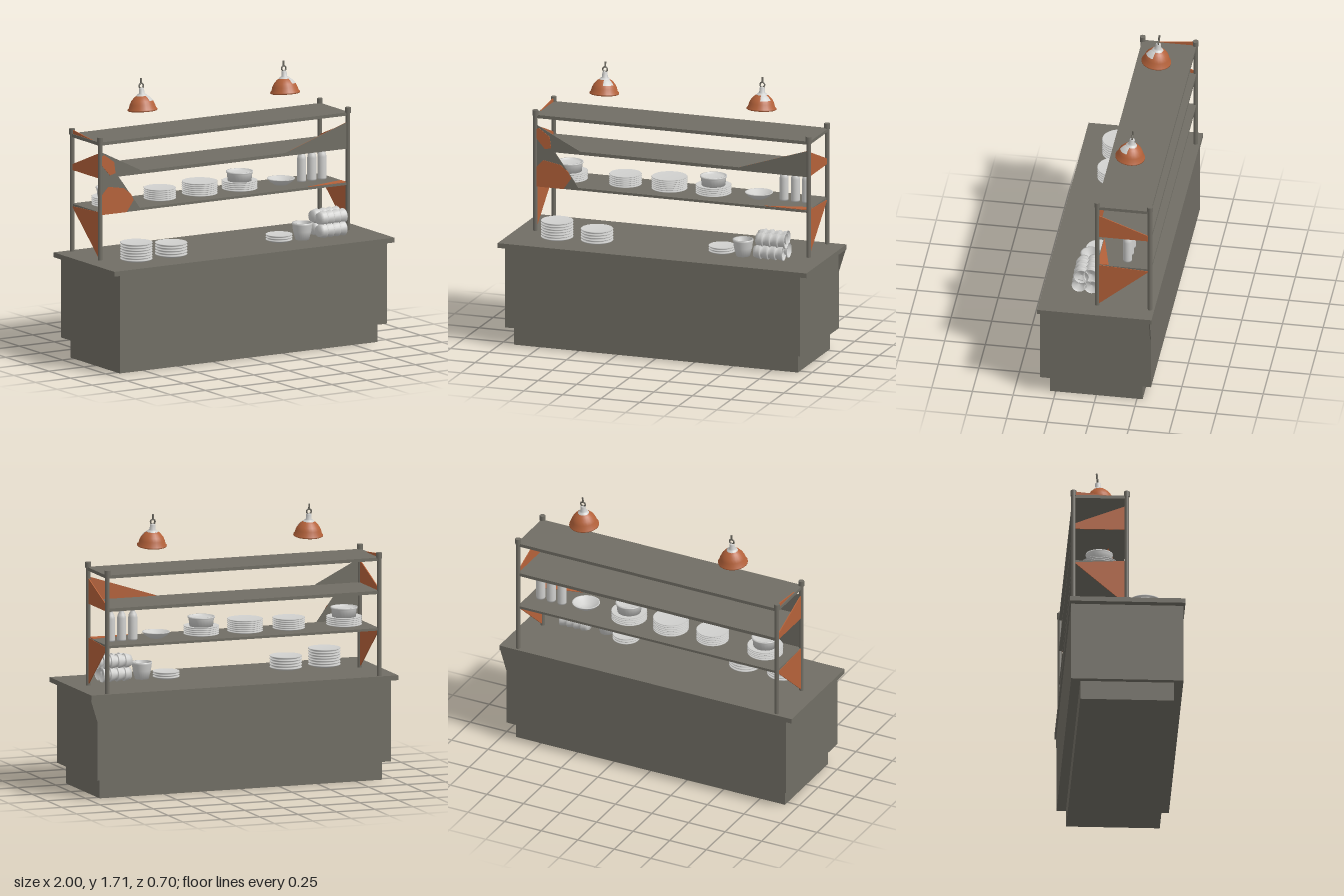
import * as THREE from 'three';

const paint = (name, color, side = THREE.FrontSide) => {
  const m = new THREE.MeshStandardMaterial({ color, side });
  m.name = name;
  return m;
};

export function createModel() {
  const root = new THREE.Group();
  root.name = 'servingCounter';
  const steel = paint('grey steel', 0x716e65);
  const copper = paint('copper', 0xb5623a);
  const china = paint('white china', 0xd0d0ce);

  const add = (name, geo, mat, x = 0, y = 0, z = 0, parent = root) => {
    const mesh = new THREE.Mesh(geo, mat);
    mesh.name = name;
    mesh.position.set(x, y, z);
    parent.add(mesh);
    return mesh;
  };
  // box given by its lower and upper corners
  const box = (name, mat, x0, x1, y0, y1, z0, z1) =>
    add(name, new THREE.BoxGeometry(x1 - x0, y1 - y0, z1 - z0), mat,
      (x0 + x1) / 2, (y0 + y1) / 2, (z0 + z1) / 2);
  // flat plate cut from a polygon, facing z
  const sheet = (pts, depth = 0.006) => new THREE.ExtrudeGeometry(
    new THREE.Shape(pts.map(p => new THREE.Vector2(...p))), { depth, bevelEnabled: false });
  const turned = (pts, seg = 24) =>
    new THREE.LatheGeometry(pts.map(p => new THREE.Vector2(...p)), seg);

  // counter
  box('plinth', steel, -0.92, 0.92, 0, 0.12, -0.285, 0.285);
  box('counterBody', steel, -0.955, 0.955, 0.12, 0.625, -0.342, 0.342);
  box('counterTop', steel, -1, 1, 0.62, 0.65, -0.352, 0.352);
  add('cornerBracket', sheet([[0.95, 0.46], [1, 0.62], [0.95, 0.62]]), steel, 0, 0, -0.342);

  // shelf rack
  for (const x of [-0.885, 0.885]) {
    for (const z of [0, -0.325]) {
      add('post', new THREE.CylinderGeometry(0.014, 0.014, 0.76, 10), steel, x, 1.03, z);
      add('postCap', new THREE.CylinderGeometry(0.018, 0.018, 0.035, 10), steel, x, 1.393, z);
    }
    box('endRail', steel, x - 0.008, x + 0.008, 1.36, 1.38, -0.325, 0);
  }
  for (const [y0, y1] of [[0.93, 0.945], [1.155, 1.175], [1.36, 1.38]])
    box('shelf', steel, -0.885, 0.885, y0, y1, -0.33, 0.004);

  // end panels, outlines in (distance back, height)
  const lowerEnd = [[0.01, 0.66], [0.32, 0.93], [0.01, 0.945]];
  const middleEnd = [[0, 1.155], [0.32, 1.155], [0.32, 1.19], [0, 1.315]];
  const topEnd = [[0, 1.37], [0.325, 1.37], [0.325, 1.405]];
  const endPanel = (pts, x) =>
    add('endPanel', sheet(pts).rotateY(Math.PI / 2), copper, x - 0.003);
  for (const x of [-0.885, 0.885]) {
    endPanel(lowerEnd, x);
    endPanel(middleEnd, x);
  }
  endPanel(topEnd, -0.885);

  // front panels with copper patches
  add('frontPanelRight', sheet([[-0.88, 0.93], [-0.61, 0.93], [-0.6, 0.94], [-0.76, 1.16],
    [-0.6, 1.16], [-0.6, 1.18], [-0.88, 1.32]]), steel);
  add('upperPatch', sheet([[-0.88, 1.24], [-0.82, 1.17], [-0.78, 1.18], [-0.79, 1.25],
    [-0.86, 1.3], [-0.88, 1.29]], 0.003), copper, 0, 0, 0.006);
  add('lowerPatch', sheet([[-0.88, 0.93], [-0.7, 0.93], [-0.65, 1.0], [-0.67, 1.04],
    [-0.72, 1.08], [-0.83, 1.1], [-0.88, 1.05]], 0.003), copper, 0, 0, 0.006);
  const wing = [[0.42, 1.17], [0.88, 1.16], [0.88, 1.32]];
  add('frontPanelLeft', sheet(wing, 0.004), steel);
  add('frontPanelLeftBack', sheet(wing, 0.003), copper, 0, 0, -0.003);

  // copper patches on the shelves, outlines in (x, distance back)
  const flat = (pts) => sheet(pts, 0.003).rotateX(-Math.PI / 2);
  add('shelfUnderPatch', flat([[-0.62, 0.1], [-0.3, 0.02], [0.3, 0.02], [0.58, 0.14],
    [0.2, 0.23], [-0.2, 0.2]]), copper, 0, 1.152, 0);
  add('shelfTopPatch', flat([[0.6, 0], [0.88, 0], [0.88, 0.07]]), copper, 0, 0.945, 0);

  // stack of plates as one turned profile
  const plates = (x, y, z, r, n, h) => {
    const p = [[0, 0]];
    const step = h / n;
    for (let i = 0; i < n; i++) {
      const b = i * step;
      p.push([r * 0.7, b], [r * 0.97, b + step * 0.6], [r, b + step * 0.8], [r * 0.97, b + step]);
    }
    p.push([r * 0.75, h - step * 0.35], [0, h - step * 0.35]);
    add('plateStack', turned(p), china, x, y, z);
  };
  // open vessel with a wall
  const vessel = (name, x, y, z, r0, r1, h) => add(name, turned([[0, 0], [r0, 0],
    [(r0 + r1 * 2) / 3, h * 0.5], [r1 * 0.97, h * 0.88], [r1, h * 0.9], [r1, h],
    [r1 - 0.008, h], [r0 * 0.85, h * 0.2], [0, h * 0.2]]), china, x, y, z);

  // dishes on the counter
  plates(-0.7, 0.65, 0.12, 0.1, 7, 0.115);
  plates(-0.445, 0.65, 0.11, 0.1, 5, 0.085);
  plates(0.35, 0.65, 0.07, 0.083, 3, 0.045);
  vessel('cup', 0.497, 0.65, 0.1, 0.042, 0.063, 0.105);

  // pile of nested cups lying on their sides
  const row = [[0, -0.095]];
  for (let i = 0; i < 4; i++) {
    const a = -0.095 + i * 0.0475;
    row.push([0.034, a], [0.041, a + 0.02], [0.044, a + 0.036], [0.047, a + 0.042], [0.044, a + 0.047]);
  }
  row.push([0.036, 0.08], [0, 0.07]);
  const rowGeo = turned(row, 16).rotateZ(-Math.PI / 2);
  [[0.685, 0.697, 0.055], [0.68, 0.697, 0.135], [0.68, 0.775, 0.06], [0.69, 0.77, 0.12]]
    .forEach(([x, y, z], i) => {
      add('cupRow', rowGeo, china, x, y, z).rotation.y = i % 2 ? 0.06 : 0.02;
    });

  // dishes on the shelf
  plates(-0.36, 0.945, -0.16, 0.1, 6, 0.075);
  plates(-0.075, 0.945, -0.16, 0.11, 7, 0.085);
  for (const x of [-0.72, 0.21]) {
    plates(x, 0.945, -0.16, 0.11, 5, 0.06);
    add('pot', turned([[0, 0], [0.072, 0], [0.078, 0.05], [0.083, 0.055], [0.083, 0.063],
      [0.074, 0.063], [0.07, 0.05], [0, 0.05]]), china, x, 0.998, -0.16);
  }
  vessel('bowl', 0.505, 0.945, -0.16, 0.04, 0.085, 0.04);
  const bottle = turned([[0, 0], [0.027, 0], [0.028, 0.01], [0.028, 0.14], [0.024, 0.16],
    [0.015, 0.175], [0.014, 0.19], [0.018, 0.192], [0.018, 0.205], [0, 0.207]], 18);
  for (const x of [0.662, 0.735, 0.807]) add('bottle', bottle, china, x, 0.945, -0.175);

  // hanging lamps
  const lamp = (x) => {
    const g = new THREE.Group();
    g.name = 'lamp';
    g.position.set(x, 1.51, -0.145);
    g.rotation.x = -0.1;
    root.add(g);
    add('shade', turned([[0.085, 0], [0.091, 0.003], [0.091, 0.01], [0.083, 0.018], [0.077, 0.04],
      [0.066, 0.062], [0.048, 0.082], [0.034, 0.092]]), copper, 0, 0, 0, g);
    add('shadeLining', turned([[0, 0.088], [0.034, 0.086], [0.062, 0.06], [0.074, 0.035],
      [0.085, 0]]), china, 0, 0, 0, g);
    add('collar', turned([[0.036, 0.09], [0.028, 0.1], [0.018, 0.105], [0.016, 0.135],
      [0.011, 0.14], [0, 0.142]], 16), china, 0, 0, 0, g);
    // worn spot on the shade
    add('wornSpot', new THREE.LatheGeometry([[0.0675, 0.062], [0.0495, 0.083], [0.035, 0.093]]
      .map(p => new THREE.Vector2(...p)), 6, 0.2, 1.1), china, 0, 0, 0, g);
    add('ring', new THREE.TorusGeometry(0.015, 0.005, 8, 16), steel, 0, 0.153, 0, g);
    add('stem', new THREE.CylinderGeometry(0.006, 0.006, 0.036, 8), steel, 0, 0.182, 0, g);
  };
  lamp(-0.492);
  lamp(0.526);

  return root;
}
